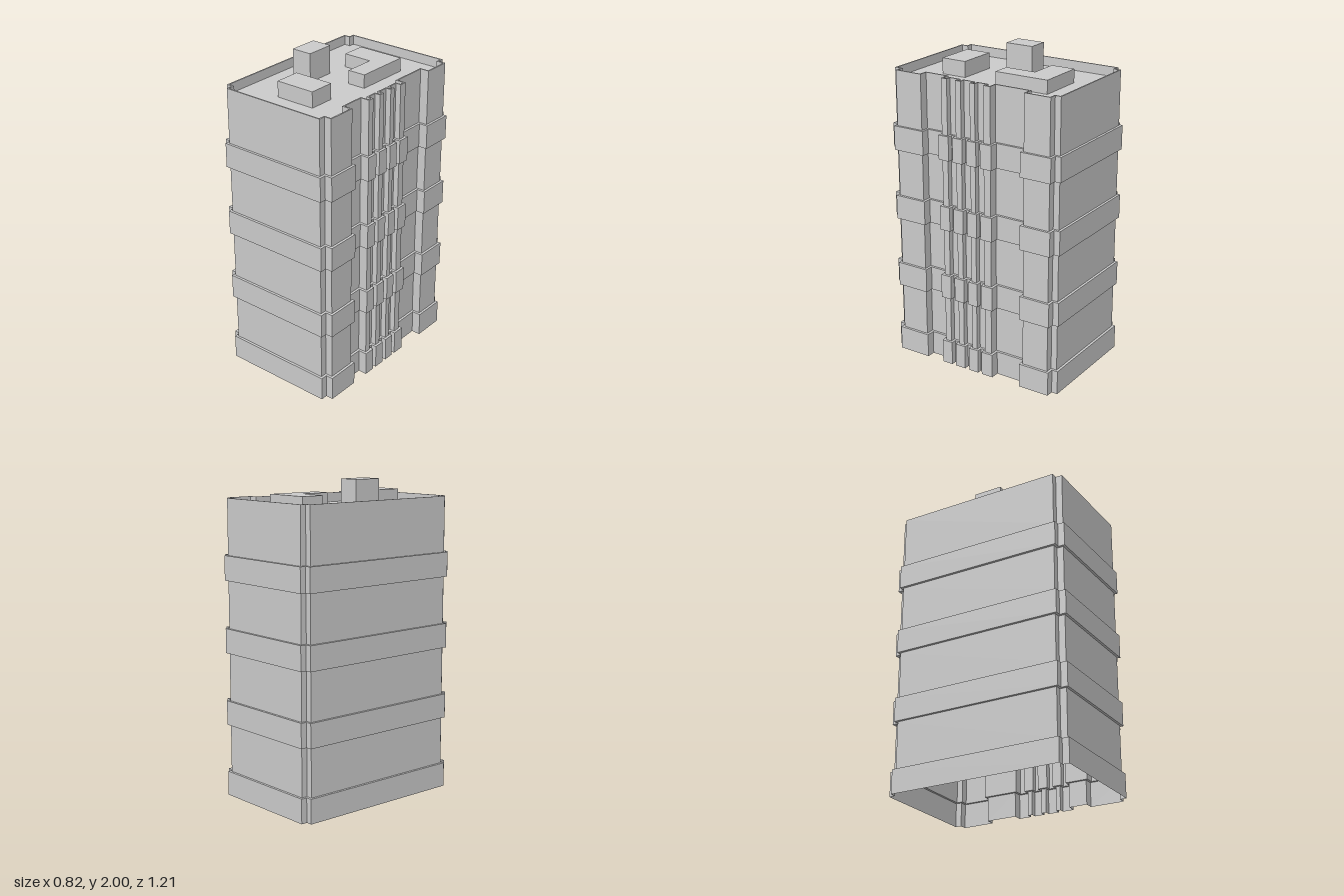
import * as THREE from 'three';

// Half of the footprint is plain; the +x side has recesses and small piers. Points are [x, z].
const PIERS = [[-0.157, -0.077], [-0.048, 0.019], [0.051, 0.122], [0.151, 0.224]];
const X = 0.41, ROOF = 1.82, TOP = 1.88, LEDGE = 0.016, RIM = 0.025;

function footprint() {
  const p = [[-0.37, -0.603], [0.362, -0.603], [0.362, -0.564], [X, -0.564], [X, -0.356], [0.353, -0.356]];
  PIERS.forEach(([z0, z1], i) => {
    const before = i === 0 ? 0.353 : 0.375;
    const after = i === PIERS.length - 1 ? 0.353 : 0.375;
    p.push([before, z0], [X, z0], [X, z1], [after, z1]);
  });
  p.push([0.353, 0.343], [X, 0.343], [X, 0.56], [0.362, 0.56], [0.362, 0.603],
    [-0.37, 0.603], [-0.37, 0.56], [-X, 0.56], [-X, -0.564], [-0.37, -0.564]);
  return p;
}

// Moves every edge of a right-angled outline inward by d
function inset(points, d) {
  const n = points.length;
  const inward = (a, b) => [-Math.sign(b[1] - a[1]), Math.sign(b[0] - a[0])];
  return points.map((p, i) => {
    const u = inward(points[(i + n - 1) % n], p);
    const v = inward(p, points[(i + 1) % n]);
    return [p[0] + d * (u[0] + v[0]), p[1] + d * (u[1] + v[1])];
  });
}

// Joins outlines stacked along a profile of [y, inset] with flat quads
function stackedWalls(outline, profile) {
  const pos = [];
  const rings = profile.map(([y, d]) => inset(outline, d).map(([x, z]) => [x, y, z]));
  for (let k = 0; k < rings.length - 1; k++) {
    const lo = rings[k], hi = rings[k + 1];
    for (let i = 0; i < lo.length; i++) {
      const j = (i + 1) % lo.length;
      pos.push(...lo[i], ...hi[j], ...lo[j], ...lo[i], ...hi[i], ...hi[j]);
    }
  }
  const geo = new THREE.BufferGeometry();
  geo.setAttribute('position', new THREE.Float32BufferAttribute(pos, 3));
  geo.computeVertexNormals();
  return geo;
}

const toShape = (points) => new THREE.Shape(points.map(([x, z]) => new THREE.Vector2(x, -z)));

export function createModel() {
  const group = new THREE.Group();
  const material = new THREE.MeshStandardMaterial({ color: 0xcccccc, flatShading: true, side: THREE.DoubleSide });
  const add = (name, geometry) => {
    const mesh = new THREE.Mesh(geometry, material);
    mesh.name = name;
    group.add(mesh);
    return mesh;
  };
  const outline = footprint();

  // Tower walls: four projecting bands, recessed shafts between, parapet on top; open below
  const profile = [];
  for (const y of [0, 0.46, 0.92, 1.375]) {
    if (y > 0) profile.push([y, LEDGE]);
    profile.push([y, 0], [y + 0.155, 0], [y + 0.155, LEDGE]);
  }
  profile.push([TOP, LEDGE], [TOP, RIM], [ROOF, RIM]);
  add('towerWalls', stackedWalls(outline, profile));

  // Roof deck inside the parapet
  const deck = new THREE.ShapeGeometry(toShape(inset(outline, RIM)));
  deck.rotateX(-Math.PI / 2);
  add('roofDeck', deck).position.y = ROOF;

  // Rooftop blocks, extruded upward from the deck
  const block = (name, points, top) => {
    const geo = new THREE.ExtrudeGeometry(toShape(points), { depth: top - ROOF, bevelEnabled: false });
    geo.rotateX(-Math.PI / 2);
    add(name, geo).position.y = ROOF;
  };
  const rect = (x0, x1, z0, z1) => [[x0, z0], [x1, z0], [x1, z1], [x0, z1]];
  block('stairTower', rect(-0.272, -0.137, -0.09, 0.097), 2);
  block('plantRoom', rect(-0.135, 0.128, 0.222, 0.39), 1.92);
  block('cornerPlantRoom', [[-0.135, -0.39], [0.173, -0.39], [0.173, -0.03],
    [0.055, -0.03], [0.055, -0.233], [-0.135, -0.233]], 1.905);

  return group;
}
